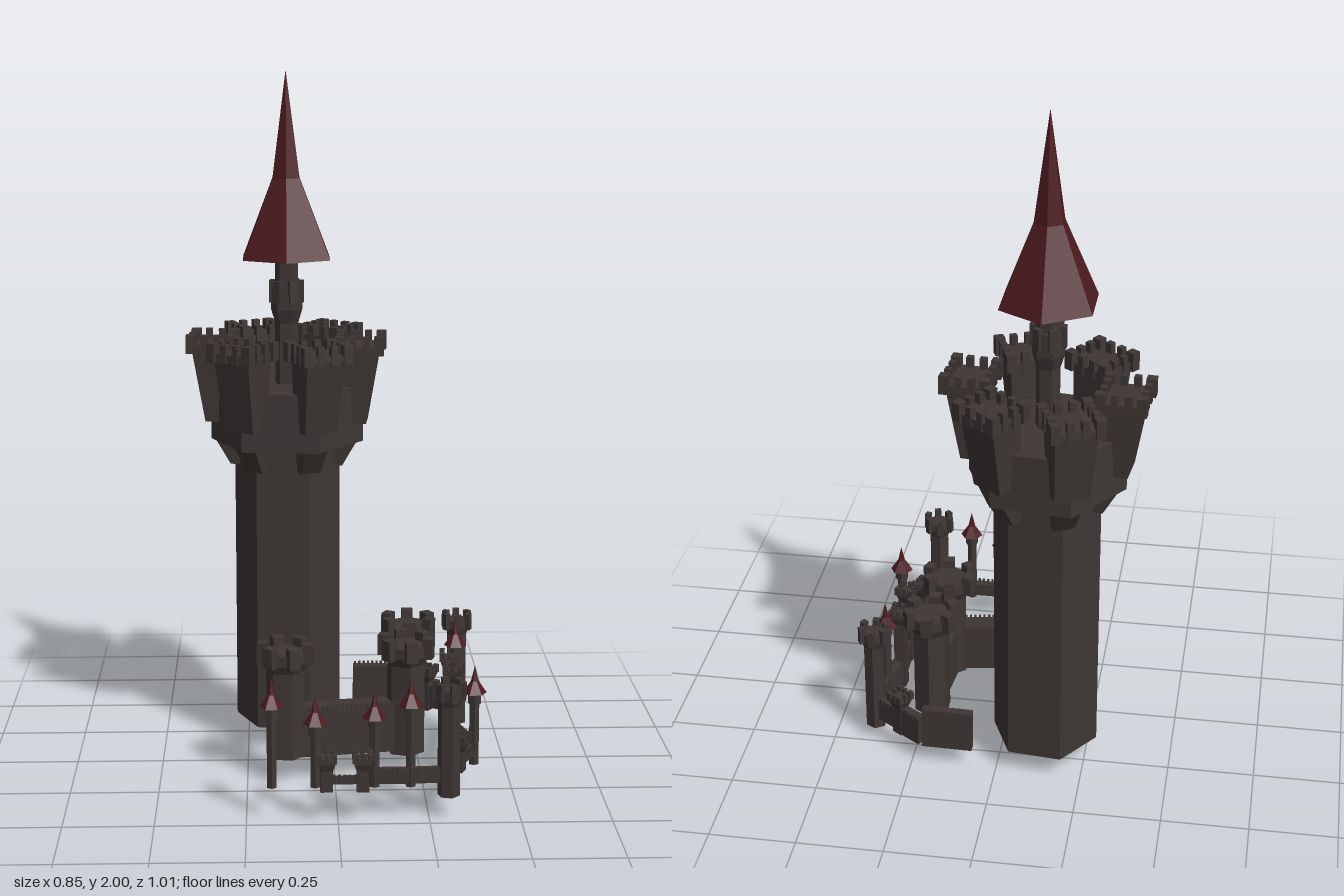
import * as THREE from 'three';

const stone = new THREE.MeshStandardMaterial({ color: 0x3d3634, flatShading: true });
const tile = new THREE.MeshStandardMaterial({ color: 0x4d1a1f, flatShading: true });
const D = Math.PI / 180;

function add(parent, name, geo, x = 0, y = 0, z = 0, ry = 0, mat = stone) {
  const m = new THREE.Mesh(geo, mat);
  m.name = name;
  m.position.set(x, y, z);
  m.rotation.y = ry;
  parent.add(m);
  return m;
}

function sub(parent, name, x = 0, z = 0, angle = 0) {
  const g = new THREE.Group();
  g.name = name;
  g.position.set(x, 0, z);
  g.rotation.y = -angle * D; // local +x points at angle, measured from x towards z
  parent.add(g);
  return g;
}

const box = (parent, name, w, y0, y1, d, x = 0, z = 0) =>
  add(parent, name, new THREE.BoxGeometry(w, y1 - y0, d), x, (y0 + y1) / 2, z);

// six-sided prism or frustum with a corner on local +x
const hex = (parent, name, rb, rt, y0, y1) =>
  add(parent, name, new THREE.CylinderGeometry(rt, rb, y1 - y0, 6), 0, (y0 + y1) / 2, 0, Math.PI / 2);

// block whose lower and upper rectangles differ: [xInner, xOuter, width]
function taper(parent, name, low, high, y0, y1) {
  const g = new THREE.BoxGeometry(1, 1, 1), p = g.attributes.position;
  for (let i = 0; i < p.count; i++) {
    const r = p.getY(i) > 0 ? high : low;
    p.setXYZ(i, p.getX(i) > 0 ? r[1] : r[0], p.getY(i) > 0 ? y1 : y0, p.getZ(i) * r[2]);
  }
  g.computeVertexNormals();
  return add(parent, name, g);
}

// flared six-sided roof, closed underneath
function roof(parent, r, y0, h) {
  const prof = [[0, 0], [r, 0], [r * 0.31, h * 0.43], [0, h]].map(([a, b]) => new THREE.Vector2(a, b));
  add(parent, 'roof', new THREE.LatheGeometry(prof, 6), 0, y0, 0, 0, tile);
}

// merlons round a rectangle centred on local x = cx
function battlement(parent, cx, w, d, y0, y1, n, s) {
  for (let i = 0; i < n; i++) {
    for (let j = 0; j < n; j++) {
      if (i % (n - 1) && j % (n - 1)) continue;
      const size = s * (i % (n - 1) || j % (n - 1) ? 0.8 : 1.15);
      box(parent, 'merlon', size, y0, y1, size, cx + (i / (n - 1) - 0.5) * w, (j / (n - 1) - 0.5) * d);
    }
  }
}

// merlons at the six corners
function hexBattlement(parent, r0, r1, w, y0, y1) {
  for (let k = 0; k < 6; k++) {
    box(sub(parent, 'merlonSet', 0, 0, k * 60), 'merlon', r1 - r0, y0, y1, w, (r0 + r1) / 2);
  }
}

function keep(root) {
  const g = sub(root, 'keep', -0.13, -0.212, 6);
  hex(g, 'keepShaft', 0.155, 0.155, 0.07, 0.93);
  hex(g, 'gallery', 0.225, 0.225, 0.92, 1.09);
  for (let k = 0; k < 6; k++) {
    const t = sub(g, 'cornerTurret', 0, 0, k * 60);
    taper(t, 'corbel', [0.12, 0.165, 0.06], [0.12, 0.205, 0.07], 0.85, 0.92);
    taper(t, 'turretBody', [0.16, 0.236, 0.1], [0.165, 0.272, 0.12], 0.98, 1.19);
    box(t, 'turretDeck', 0.125, 1.19, 1.21, 0.135, 0.217);
    battlement(t, 0.217, 0.115, 0.125, 1.185, 1.24, 4, 0.024);
  }
  // lookout under the great roof
  hex(g, 'lookoutShaft', 0.034, 0.034, 1.08, 1.47);
  hex(g, 'lookoutFlare', 0.034, 0.046, 1.27, 1.31);
  hex(g, 'lookoutCollar', 0.046, 0.046, 1.31, 1.38);
  hexBattlement(g, 0.034, 0.05, 0.022, 1.33, 1.395);
  roof(sub(root, 'keepRoof', -0.13, -0.212), 0.145, 1.46, 0.54);
}

// six-sided tower with a crenellated head; s scales its girth
function hexTower(root, x, z, angle, y0, y1, s) {
  const g = sub(root, 'hexTower', x, z, angle);
  const h = 0.6 + 0.4 * s;
  hex(g, 'shaft', 0.056 * s, 0.056 * s, y0, y1 - 0.06 * h);
  hex(g, 'flare', 0.056 * s, 0.068 * s, y1 - 0.08 * h, y1 - 0.055 * h);
  hex(g, 'head', 0.068 * s, 0.068 * s, y1 - 0.055 * h, y1 - 0.025 * h);
  hexBattlement(g, 0.052 * s, 0.081 * s, 0.034 * s, y1 - 0.06 * h, y1);
}

// small square tower
function squareTower(root, x, z, angle, y0, y1) {
  const g = sub(root, 'squareTower', x, z, angle);
  box(g, 'shaft', 0.034, y0, y1 - 0.03, 0.034);
  taper(g, 'flare', [-0.017, 0.017, 0.034], [-0.024, 0.024, 0.048], y1 - 0.05, y1 - 0.03);
  box(g, 'head', 0.048, y1 - 0.03, y1 - 0.015, 0.048);
  battlement(g, 0, 0.042, 0.042, y1 - 0.025, y1, 3, 0.013);
}

// slender tower with a pointed roof
function roofTower(root, x, z, y0, y1) {
  const g = sub(root, 'roofTower', x, z, 30);
  hex(g, 'shaft', 0.015, 0.015, y0, y1 - 0.07);
  hex(g, 'collar', 0.02, 0.02, y1 - 0.11, y1 - 0.085);
  roof(g, 0.034, y1 - 0.08, 0.08);
}

// wall from a to b with fine merlons on one side
function wall(root, a, b, y0, y1, w, side = 1) {
  const dx = b[0] - a[0], dz = b[1] - a[1], len = Math.hypot(dx, dz);
  const g = sub(root, 'wall', (a[0] + b[0]) / 2, (a[1] + b[1]) / 2, Math.atan2(dz, dx) / D);
  box(g, 'wallBody', len, y0, y1, w);
  const n = Math.max(2, Math.round(len / 0.014));
  for (let i = 0; i < n; i++) {
    box(g, 'wallMerlon', 0.007, y1 - 0.008, y1 + 0.007, 0.006, ((i + 0.5) / n - 0.5) * len, side * w / 2);
  }
}

export function createModel() {
  const root = new THREE.Group();
  root.name = 'castle';
  keep(root);

  // inner ward
  const A = [-0.14, 0.145], B = [0.207, 0.09], C = [0.226, -0.115];
  hexTower(root, ...A, 10, 0.07, 0.405, 1);
  hexTower(root, ...B, 20, 0.06, 0.405, 1);
  hexTower(root, ...C, 30, 0.05, 0.405, 1);
  wall(root, A, B, 0.07, 0.215, 0.065, 1);
  wall(root, B, C, 0.06, 0.215, 0.065, 1);

  // outer towers along the curtain wall, from the back round to the front
  const H1 = [0.379, -0.212], H2 = [0.304, 0.443];
  const R1 = [0.366, -0.105], R2 = [0.39, 0.258], R3 = [0.199, 0.45], R4 = [0.1, 0.45];
  const T1 = [0.293, -0.27], T2 = [0.341, -0.015], T3 = [0.344, 0.11], T4 = [0.339, 0.34];
  const T5 = [0.067, 0.48], T6 = [-0.032, 0.48];
  hexTower(root, ...H1, 30, 0.04, 0.385, 0.56);
  hexTower(root, ...H2, 15, 0.06, 0.385, 0.56);
  roofTower(root, ...R1, 0, 0.395);
  roofTower(root, ...R2, 0.08, 0.37);
  roofTower(root, ...R3, 0.09, 0.4);
  roofTower(root, ...R4, 0.09, 0.365);
  roofTower(root, -0.062, 0.45, 0.09, 0.35);
  roofTower(root, -0.18, 0.45, 0.09, 0.4);
  squareTower(root, ...T1, 35, 0.06, 0.2);
  squareTower(root, ...T2, 5, 0.05, 0.325);
  squareTower(root, ...T3, 15, 0.06, 0.325);
  squareTower(root, ...T4, 25, 0.09, 0.2);
  squareTower(root, ...T5, 0, 0.09, 0.2);
  squareTower(root, ...T6, 0, 0.09, 0.2);

  // curtain wall
  wall(root, [0.07, -0.323], [0.217, -0.32], 0.06, 0.185, 0.03, -1);
  wall(root, [0.222, -0.317], T1, 0.06, 0.15, 0.028, -1);
  const runs = [[T1, H1], [H1, R1], [R1, T2], [T2, T3], [T3, R2], [R2, T4], [T4, H2]];
  for (const [a, b] of runs) wall(root, a, b, a[1] < 0.1 ? 0.07 : 0.11, 0.14, 0.026, -1);
  wall(root, H2, R3, 0.1, 0.14, 0.026, -1);
  wall(root, R3, R4, 0.1, 0.14, 0.026, -1);
  wall(root, T5, T6, 0.11, 0.13, 0.016, -1);
  return root;
}
